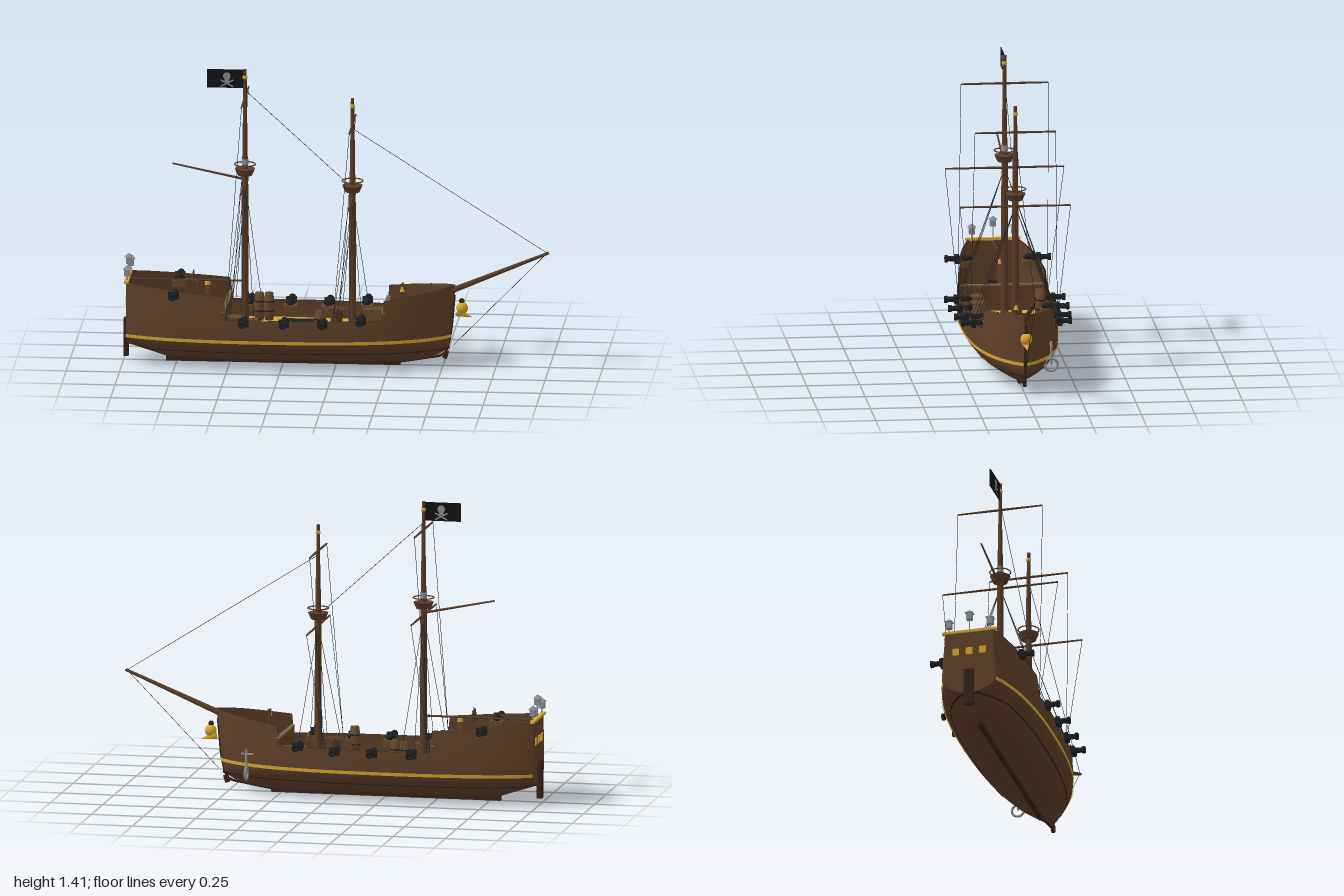
import * as THREE from 'three';

const V = (x, y, z) => new THREE.Vector3(x, y, z);

function material(name, color, side = THREE.FrontSide) {
  const m = new THREE.MeshStandardMaterial({ color, side });
  m.name = name;
  return m;
}

// Linear lookup in a list of [x, value] pairs
function lookup(table, x) {
  let i = 1;
  while (i < table.length - 1 && table[i][0] < x) i++;
  const [x0, v0] = table[i - 1], [x1, v1] = table[i];
  return v0 + (v1 - v0) * THREE.MathUtils.clamp((x - x0) / (x1 - x0), 0, 1);
}

// Hull lines: half beam, top of the bulwark, bottom
const BEAM = new THREE.SplineCurve([
  [-0.98, 0.125], [-0.9, 0.155], [-0.75, 0.19], [-0.55, 0.212], [-0.35, 0.219], [-0.1, 0.215],
  [0.1, 0.197], [0.25, 0.168], [0.4, 0.118], [0.5, 0.062], [0.56, 0.003],
].map(p => new THREE.Vector2(...p))).getPoints(60).map(p => [p.x, p.y]);
const TOP = [[-0.98, 0.4], [-0.515, 0.355], [-0.5, 0.25], [0.228, 0.25], [0.235, 0.342], [0.56, 0.388]];
const BOTTOM = [[-0.98, 0.08], [-0.8, 0.022], [-0.5, 0.012], [0.2, 0.012], [0.35, 0.022], [0.5, 0.052], [0.56, 0.085]];
const WATER = 0.15, DECK = 0.165;
const STATIONS = [...BEAM.map(p => p[0]), -0.515, -0.5, 0.228, 0.235].sort((a, b) => a - b);

function halfWidth(x, y) {
  const yb = lookup(BOTTOM, x), b = lookup(BEAM, x);
  if (y >= WATER) return b * (1 - 0.09 * Math.max(0, (y - 0.22) / 0.18));
  const s = Math.max(0, (y - yb) / (WATER - yb));
  return b * Math.pow(1 - (1 - s) ** 2, 0.85);
}

// Point on the hull side, with the stem raked forward
function hullPoint(x, y, side, out = 0) {
  const rake = 0.1 * (0.39 - y) * Math.max(0, (x - 0.3) / 0.26);
  return V(x - rake + (x > 0.5 ? out : 0), y, side * Math.max(0, halfWidth(x, y) + out));
}

// Surface through rows of points, one row per station
function skin(rows) {
  const n = rows[0].length, index = [];
  for (let i = 0; i < rows.length - 1; i++) for (let j = 0; j < n - 1; j++) {
    const a = i * n + j, b = a + n;
    index.push(a, b, a + 1, b, b + 1, a + 1);
  }
  const g = new THREE.BufferGeometry().setFromPoints(rows.flat());
  g.setIndex(index);
  g.computeVertexNormals();
  return g;
}

export function createModel() {
  const ship = new THREE.Group();
  ship.name = 'sailingShip';
  const hullWood = material('hull brown', 0x5e4029, THREE.DoubleSide);
  const sparWood = material('mast brown', 0x5a3d28);
  const crateWood = material('crate brown', 0x66482b);
  const deckWood = material('deck ochre', 0xd0a638, THREE.DoubleSide);
  const gold = material('gold', 0xd9a930, THREE.DoubleSide);
  const iron = material('iron black', 0x1d1f21);
  const keelWood = material('keel dark brown', 0x34221a, THREE.DoubleSide);
  const cloth = material('flag black', 0x131315);
  const grey = material('lantern grey', 0x8e9094, THREE.DoubleSide);
  const railWood = material('railing grey brown', 0x75674f);

  const add = (name, geo, mat, x = 0, y = 0, z = 0, parent = ship) => {
    const m = new THREE.Mesh(geo, mat);
    m.name = name;
    m.position.set(x, y, z);
    parent.add(m);
    return m;
  };
  const box = (name, mat, w, h, d, x, y, z, parent) => add(name, new THREE.BoxGeometry(w, h, d), mat, x, y, z, parent);
  // Box standing on the deck and reaching up to a given height
  const deckBox = (name, mat, w, d, x, top, z) => box(name, mat, w, top - DECK, d, x, (top + DECK) / 2, z);
  const cyl = (name, mat, rt, rb, h, x, y, z) => add(name, new THREE.CylinderGeometry(rt, rb, h, 14), mat, x, y, z);
  const ball = (name, mat, r, x, y, z) => add(name, new THREE.SphereGeometry(r, 16, 12), mat, x, y, z);
  const rod = (name, mat, a, b, r0, r1 = r0, sides = 8) => {
    const d = b.clone().sub(a), mid = a.clone().lerp(b, 0.5);
    const m = add(name, new THREE.CylinderGeometry(r1, r0, d.length(), sides), mat, mid.x, mid.y, mid.z);
    m.quaternion.setFromUnitVectors(V(0, 1, 0), d.normalize());
  };
  const line = (name, a, b) => rod(name, iron, a, b, 0.0012, 0.0012, 5);

  // Hull sides, bulwark caps, gold stripe and lower wale
  const sectionHeights = x => {
    const yb = lookup(BOTTOM, x), yt = lookup(TOP, x), ys = [];
    for (let i = 0; i <= 10; i++) ys.push(yb + (WATER - yb) * Math.pow(i / 10, 1.3));
    for (let i = 1; i <= 4; i++) ys.push(WATER + (yt - WATER) * i / 4);
    return ys;
  };
  for (const s of [1, -1]) {
    const band = (name, mat, y0, y1, out) =>
      add(name, skin(STATIONS.map(x => [hullPoint(x, y0, s, out), hullPoint(x, y1, s, out)])), mat);
    add('hullSide', skin(STATIONS.map(x => sectionHeights(x).map(y => hullPoint(x, y, s)))), hullWood);
    add('bulwarkCap', skin(STATIONS.map(x => {
      const y = lookup(TOP, x) + 0.001;
      return [hullPoint(x, y, s, 0.002), hullPoint(x, y, s, -0.006)];
    })), keelWood);
    band('goldStripe', gold, 0.138, 0.154, 0.005);
    band('lowerWale', keelWood, 0.082, 0.087, 0.003);
  }

  // Flat stern and deck
  const sternYs = sectionHeights(-0.98);
  const outline = (pts) => new THREE.ShapeGeometry(new THREE.Shape(
    [...pts, ...pts.map(p => new THREE.Vector2(p.x * p.mx, p.y * p.my)).reverse()]));
  const mirrored = (x, y, mx, my) => Object.assign(new THREE.Vector2(x, y), { mx, my });
  add('transom', outline(sternYs.map(y => mirrored(halfWidth(-0.98, y), y, -1, 1))).rotateY(-Math.PI / 2), hullWood, -0.98);
  add('deck', outline(STATIONS.map(x => {
    const p = hullPoint(x, DECK, 1);
    return mirrored(p.x, p.z, 1, -1);
  })).rotateX(-Math.PI / 2), deckWood, 0, DECK, 0);
  box('taffrail', gold, 0.02, 0.012, 0.26, -0.978, 0.402, 0);
  for (const z of [-0.065, 0, 0.065]) box('sternWindow', gold, 0.005, 0.035, 0.032, -0.983, 0.3, z);

  // Keel, stem and rudder
  box('keel', keelWood, 1.1, 0.025, 0.02, -0.25, 0.0125, 0);
  box('rudder', keelWood, 0.024, 0.18, 0.045, -0.988, 0.11, 0);
  const stem = [V(0.3, 0.016, 0), V(0.42, 0.036, 0), V(0.505, 0.058, 0), V(0.532, 0.13, 0), V(0.555, 0.34, 0)];
  add('stem', new THREE.TubeGeometry(new THREE.CatmullRomCurve3(stem), 24, 0.006, 6), keelWood);
  box('stemFoot', keelWood, 0.022, 0.035, 0.016, 0.513, 0.053, 0).rotation.z = -0.3;

  // Bowsprit and figurehead
  rod('bowsprit', sparWood, V(0.5, 0.345, 0), V(0.997, 0.553, 0), 0.015, 0.007);
  ball('figureheadBody', gold, 0.028, 0.59, 0.28, 0);
  ball('figureheadHead', keelWood, 0.013, 0.588, 0.313, 0);
  rod('figureheadTail', gold, V(0.565, 0.26, 0), V(0.637, 0.236, 0), 0.022, 0.001);

  // Masts with nests, yards and rigging
  const masts = [
    { x: -0.43, top: 1.41, ball: 1.372, nest: 0.9, yards: [[0.87, 0.28], [1.275, 0.205]] },
    { x: 0.075, top: 1.28, ball: 1.243, nest: 0.83, yards: [[0.8, 0.26], [1.155, 0.19]] },
  ];
  for (const m of masts) {
    const high = m.nest + 0.25;
    rod('lowerMast', sparWood, V(m.x, DECK, 0), V(m.x, m.nest + 0.03, 0), 0.018, 0.015, 12);
    rod('middleMast', sparWood, V(m.x, m.nest, 0), V(m.x, high, 0), 0.014, 0.011, 12);
    rod('topMast', sparWood, V(m.x, high, 0), V(m.x, m.top, 0), 0.01, 0.008, 12);
    ball('mastBall', gold, 0.012, m.x, m.ball, 0);
    cyl('nestFloor', sparWood, 0.048, 0.034, 0.032, m.x, m.nest + 0.016, 0);
    add('nestRing', new THREE.TorusGeometry(0.049, 0.003, 6, 24).rotateX(Math.PI / 2), sparWood, m.x, m.nest + 0.053, 0);
    for (const [y, half] of m.yards) {
      for (const s of [1, -1]) {
        rod('yard', sparWood, V(m.x, y, 0), V(m.x, y, s * half), 0.006, 0.004);
        const x = m.x - 0.075;
        line('brace', V(m.x, y, s * half), V(x, 0.25, s * halfWidth(x, 0.25)));
      }
    }
    for (const s of [1, -1]) for (const dx of [-0.06, 0, 0.06])
      line('shroud', V(m.x, m.nest - 0.03, 0), V(m.x + dx, 0.25, s * halfWidth(m.x + dx, 0.25)));
  }
  cyl('mastLantern', grey, 0.016, 0.016, 0.028, -0.43, 0.965, 0);
  rod('gaff', sparWood, V(-0.43, 0.88, 0), V(-0.77, 0.95, 0), 0.006, 0.004);
  rod('boom', sparWood, V(-0.43, 0.39, 0), V(-0.97, 0.39, 0), 0.005, 0.004);
  line('mainStay', V(-0.43, 1.31, 0), V(0.04, 0.88, 0));
  line('foreStay', V(0.075, 1.135, 0), V(0.99, 0.552, 0));
  line('bobstay', V(0.99, 0.552, 0), V(0.55, 0.1, 0));

  // Flag with a simple skull and crossed bones on both faces
  box('flag', cloth, 0.175, 0.088, 0.004, -0.522, 1.364, 0);
  for (const s of [1, -1]) {
    add('flagSkull', new THREE.CircleGeometry(0.018, 16), grey, -0.515, 1.377, s * 0.003);
    add('flagJaw', new THREE.PlaneGeometry(0.02, 0.016), grey, -0.515, 1.357, s * 0.003);
    for (const r of [0.5, -0.5])
      add('flagBone', new THREE.PlaneGeometry(0.068, 0.007), grey, -0.515, 1.342, s * 0.003).rotation.z = r;
  }

  // Cannons on both sides: [x, barrel height, distance of muzzle from the centre line]
  const barrel = new THREE.LatheGeometry([
    [0, 0], [0.008, 0.003], [0.008, 0.01], [0.016, 0.014], [0.015, 0.06], [0.012, 0.115],
    [0.017, 0.118], [0.017, 0.132], [0.009, 0.132], [0, 0.122],
  ].map(p => new THREE.Vector2(...p)), 14).rotateX(Math.PI / 2);
  for (const [x, y, reach] of [[-0.75, 0.363, 0.25], [-0.42, 0.245, 0.285], [-0.23, 0.245, 0.285], [-0.05, 0.245, 0.275], [0.13, 0.258, 0.26]]) {
    for (const s of [1, -1]) {
      const cannon = new THREE.Group();
      cannon.name = 'cannon';
      cannon.position.set(x, y, s * (reach - 0.132));
      if (s < 0) cannon.rotation.y = Math.PI;
      ship.add(cannon);
      add('barrel', barrel, iron, 0, 0, 0, cannon);
      box('carriage', crateWood, 0.064, 0.03, 0.06, 0, -0.024, 0.028, cannon);
      box('trunnion', iron, 0.05, 0.01, 0.012, 0, -0.004, 0.05, cannon);
      box('gunRest', iron, 0.048, 0.036, 0.02, 0, -0.002, 0.075, cannon);
    }
  }

  // Low bulkheads across the deck at the steps of the bulwark
  for (const [x, half] of [[-0.515, 0.209], [0.232, 0.169]]) {
    deckBox('bulkhead', hullWood, 0.012, half * 2, x, 0.285, 0);
    box('bulkheadRail', railWood, 0.018, 0.008, half * 2, x, 0.287, 0);
  }

  // Hatch with grating
  deckBox('hatchFrame', railWood, 0.17, 0.125, -0.18, 0.195, 0);
  deckBox('hatchCover', iron, 0.15, 0.107, -0.18, 0.2, 0);

  // Capstan
  cyl('capstan', sparWood, 0.032, 0.025, 0.105, 0, DECK + 0.052, 0);
  for (let i = 0; i < 4; i++) box('capstanBar', crateWood, 0.11, 0.007, 0.007, 0, 0.265, 0).rotation.y = i * Math.PI / 4;

  // Crates and barrels
  deckBox('crate', crateWood, 0.07, 0.06, -0.465, 0.25, 0.13);
  deckBox('crate', crateWood, 0.06, 0.06, -0.39, 0.235, 0.13);
  deckBox('crate', crateWood, 0.095, 0.07, 0.17, 0.24, -0.12);
  const cask = new THREE.LatheGeometry([[0, 0], [0.02, 0], [0.026, 0.05], [0.026, 0.08], [0.02, 0.13], [0, 0.13]]
    .map(p => new THREE.Vector2(...p)), 14);
  for (const [x, z] of [[-0.375, -0.16], [-0.33, -0.16], [-0.065, 0.165]]) {
    add('cask', cask, crateWood, x, DECK, z);
    for (const y of [0.045, 0.09]) cyl('caskHoop', iron, 0.0265, 0.0265, 0.006, x, DECK + y, z);
  }

  // Helm, binnacle and bell post
  deckBox('helmPost', sparWood, 0.016, 0.02, -0.655, 0.385, 0);
  add('helmWheel', new THREE.TorusGeometry(0.033, 0.004, 6, 20).rotateY(Math.PI / 2), sparWood, -0.672, 0.395, 0);
  for (let i = 0; i < 4; i++) box('helmSpoke', sparWood, 0.005, 0.088, 0.005, -0.672, 0.395, 0).rotation.x = i * Math.PI / 4;
  deckBox('binnacle', crateWood, 0.026, 0.026, -0.605, 0.368, 0);
  cyl('binnacleTop', gold, 0.013, 0.013, 0.018, -0.605, 0.377, 0);
  deckBox('bellPost', sparWood, 0.014, 0.014, 0.31, 0.39, 0);
  box('bellArm', sparWood, 0.01, 0.008, 0.055, 0.31, 0.385, 0);
  cyl('bell', gold, 0.005, 0.012, 0.02, 0.31, 0.368, 0.02);

  // Anchor at the bow
  const az = -0.137;
  add('anchorRing', new THREE.TorusGeometry(0.03, 0.006, 8, 24).rotateY(Math.PI / 2), grey, 0.39, 0.108, az);
  cyl('anchorShank', grey, 0.005, 0.005, 0.11, 0.39, 0.165, az);
  box('anchorStock', grey, 0.06, 0.008, 0.008, 0.385, 0.2, az);

  // Stern lanterns
  for (const [z, y] of [[-0.1, 0.445], [0, 0.48], [0.1, 0.445]]) {
    cyl('lanternPost', grey, 0.003, 0.003, y - 0.39, -0.975, (y + 0.39) / 2, z);
    box('lantern', grey, 0.027, 0.034, 0.027, -0.975, y, z);
    add('lanternRoof', new THREE.ConeGeometry(0.028, 0.018, 4).rotateY(Math.PI / 4), grey, -0.975, y + 0.024, z);
  }
  return ship;
}
